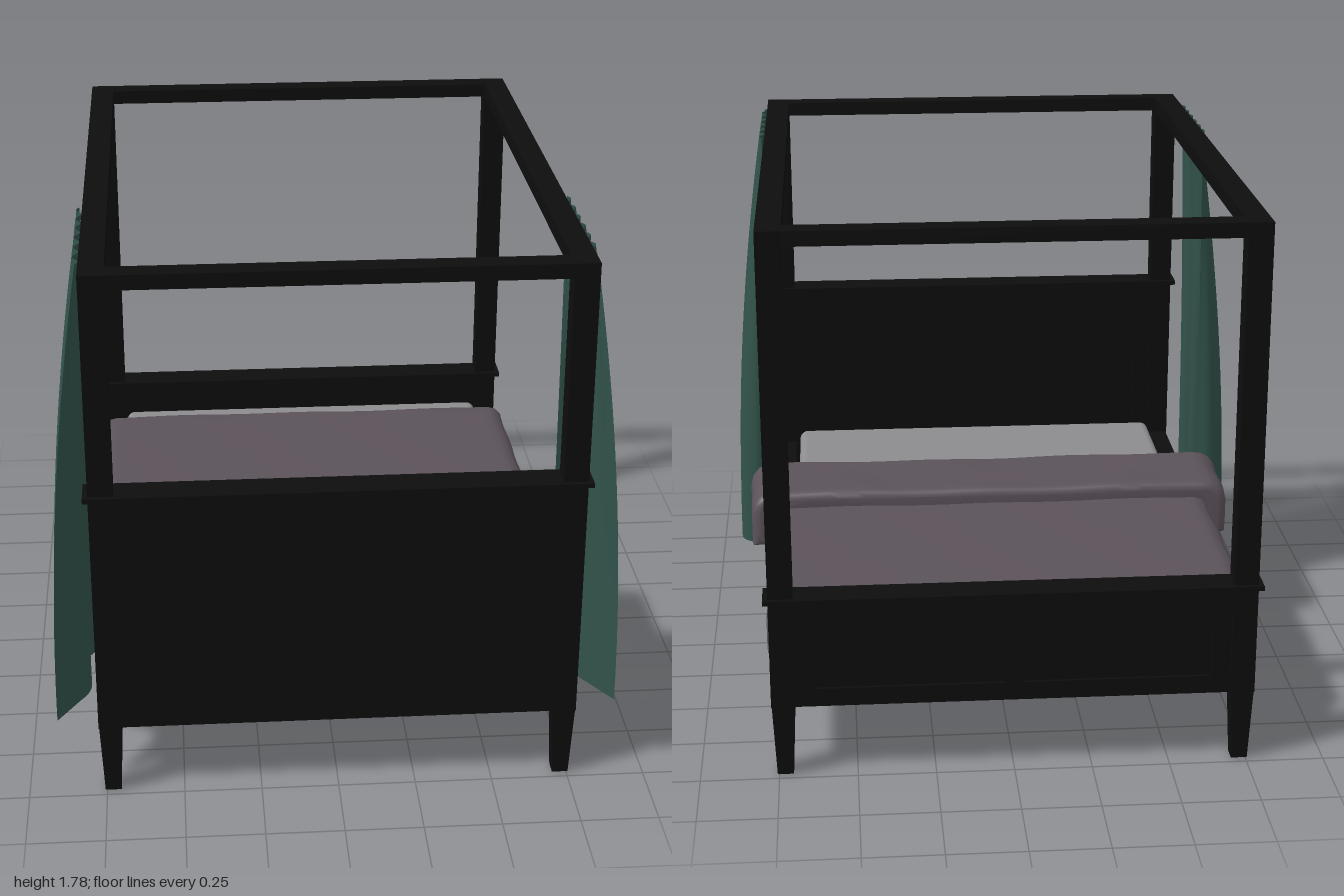
import * as THREE from 'three';
import { mergeVertices, toCreasedNormals } from 'three/addons/utils/BufferGeometryUtils.js';
import { RoundedBoxGeometry } from 'three/addons/geometries/RoundedBoxGeometry.js';

export function createModel() {
  const model = new THREE.Group();
  model.name = 'canopyBed';

  const mat = (name, color, side = THREE.FrontSide) => {
    const m = new THREE.MeshStandardMaterial({ color, side });
    m.name = name;
    return m;
  };
  const wood = mat('blackWood', 0x0d0d0d);
  const sheet = mat('mattressGrey', 0x8c8c8f);
  const duvetCloth = mat('duvetMauve', 0x5b525a);
  const curtainCloth = mat('curtainGreen', 0x31524a, THREE.DoubleSide);

  const add = (name, geometry, material) => {
    const mesh = new THREE.Mesh(geometry, material);
    mesh.name = name;
    model.add(mesh);
    return mesh;
  };
  // Box given by its extents on each axis
  const block = (name, [x0, x1], [y0, y1], [z0, z1], material = wood) => {
    const g = new THREE.BoxGeometry(x1 - x0, y1 - y0, z1 - z0);
    g.translate((x0 + x1) / 2, (y0 + y1) / 2, (z0 + z1) / 2);
    return add(name, g, material);
  };

  // Four posts with tapered feet
  for (const sx of [-1, 1]) {
    for (const sz of [-1, 1]) {
      const post = add('post', new THREE.BoxGeometry(0.078, 1.545, 0.075), wood);
      post.position.set(sx * 0.73, 1.0125, sz * 0.9475);

      const foot = new THREE.BoxGeometry(0.074, 0.24, 0.072);
      const p = foot.attributes.position;
      for (let i = 0; i < p.count; i++) {
        if (p.getY(i) < 0) {
          p.setX(i, p.getX(i) * 0.7);
          p.setZ(i, p.getZ(i) * 0.7);
        }
      }
      foot.computeVertexNormals();
      add('foot', foot, wood).position.set(sx * 0.73, 0.12, sz * 0.9475);
    }
  }

  // Canopy rails and side rails
  for (const s of [-1, 1]) {
    const span = (a, b) => (s > 0 ? [a, b] : [-b, -a]);
    block('canopySideRail', span(0.691, 0.769), [1.738, 1.785], [-0.91, 0.91]);
    block('canopyEndRail', [-0.691, 0.691], [1.738, 1.785], span(0.91, 0.985));
    block('sideRail', span(0.7, 0.765), [0.24, 0.44], [-0.91, 0.91]);
  }

  // Panelled end boards: a thin core with frame strips on chosen faces
  const endBoard = (name, sz, top, frameFaces) => {
    const span = (a, b) => (sz > 0 ? [a, b] : [-b, -a]);
    block(name + 'Panel', [-0.692, 0.692], [0.24, top], span(0.925, 0.97));
    block(name + 'Cap', [-0.785, 0.785], [top - 0.007, top + 0.008], span(0.893, 1));
    for (const face of frameFaces) {
      const depth = face === 'outer' ? span(0.965, 0.98) : span(0.913, 0.928);
      block(name + 'TopRail', [-0.692, 0.692], [top - 0.07, top - 0.004], depth);
      block(name + 'BottomRail', [-0.692, 0.692], [0.24, 0.3], depth);
      for (const x of [-0.66, 0, 0.66]) {
        block(name + 'Stile', [x - 0.03, x + 0.03], [0.3, top - 0.07], depth);
      }
    }
  };
  endBoard('headboard', 1, 1.06, ['inner']);
  endBoard('footboard', -1, 0.605, ['inner', 'outer']);
  block('headboardFace', [-0.692, 0.692], [0.24, 1.055], [0.965, 0.98]);

  // Slats under the mattress
  for (let i = -2; i <= 2; i++) {
    const z = i * 0.38;
    block('slat', [-0.71, 0.71], [0.25, 0.28], [z - 0.11, z + 0.11]);
  }

  const mattress = add('mattress', new RoundedBoxGeometry(1.37, 0.215, 1.8, 4, 0.03), sheet);
  mattress.position.set(0, 0.3875, -0.005);

  // Bedding: an arch-shaped cross-section draped over the bed, with soft wrinkles
  const drape = (name, { halfWidth, bottom, top, thick, radius, z0, z1, bevel, wrinkle, flare }) => {
    const w = halfWidth - bevel, t = top - bevel, b = bottom + bevel;
    const iw = w - thick, it = t - thick;
    const s = new THREE.Shape();
    s.moveTo(w, b);
    s.lineTo(w, t - radius);
    s.quadraticCurveTo(w, t, w - radius, t);
    s.lineTo(-w + radius, t);
    s.quadraticCurveTo(-w, t, -w, t - radius);
    s.lineTo(-w, b);
    s.lineTo(-iw, b);
    s.lineTo(-iw, it);
    s.lineTo(iw, it);
    s.lineTo(iw, b);
    s.closePath();
    const outline = new THREE.Shape(s.getSpacedPoints(160).slice(0, -1));
    let g = new THREE.ExtrudeGeometry(outline, {
      depth: z1 - z0 - 2 * bevel, steps: 20,
      bevelEnabled: true, bevelSize: bevel, bevelThickness: bevel, bevelSegments: 4,
    });
    g.translate(0, 0, z0 + bevel);
    g.deleteAttribute('uv');
    g.deleteAttribute('normal');
    g = mergeVertices(g, 1e-4);
    const p = g.attributes.position;
    for (let i = 0; i < p.count; i++) {
      const x = p.getX(i), y = p.getY(i), z = p.getZ(i);
      const ripple = Math.sin(x * 9 + z * 5) * Math.sin(z * 13 - x * 4);
      p.setY(i, y + wrinkle * ripple);
      p.setX(i, x * (1 + flare * (z - z0) / (z1 - z0) + wrinkle * Math.sin(z * 21)));
    }
    add(name, toCreasedNormals(g, 0.9), duvetCloth);
  };
  drape('duvet', { halfWidth: 0.78, bottom: 0.335, top: 0.52, thick: 0.02, radius: 0.05,
    z0: -0.79, z1: 0.32, bevel: 0.014, wrinkle: 0.003, flare: 0.005 });
  drape('duvetFold', { halfWidth: 0.845, bottom: 0.375, top: 0.574, thick: 0.045, radius: 0.06,
    z0: 0, z1: 0.33, bevel: 0.028, wrinkle: 0.004, flare: 0.018 });

  // Curtains: gathered flat at the canopy rail, opening into deep folds at the hem
  const hem = new THREE.CatmullRomCurve3([
    [0.79, 0.34], [0.84, 0.33], [0.895, 0.37], [0.9, 0.43], [0.86, 0.48], [0.795, 0.5],
    [0.8, 0.55], [0.88, 0.57], [0.912, 0.62], [0.87, 0.68], [0.8, 0.72], [0.8, 0.78],
    [0.845, 0.86], [0.9, 0.95],
  ].map(([x, z]) => new THREE.Vector3(x, 0, z)));
  const COLS = 90, ROWS = 30;
  const hemPoints = hem.getSpacedPoints(COLS);
  const makeCurtain = (name, side) => {
    const g = new THREE.PlaneGeometry(1, 1, COLS, ROWS);
    const p = g.attributes.position;
    for (let r = 0; r <= ROWS; r++) {
      const t = r / ROWS;
      const open = 1 - (1 - t) ** 2;
      for (let c = 0; c <= COLS; c++) {
        const u = c / COLS;
        const topX = 0.779 + 0.009 * Math.sin(u * Math.PI * 12);
        const topZ = 0.35 + 0.51 * u;
        const h = hemPoints[c];
        p.setXYZ(r * (COLS + 1) + c,
          side * THREE.MathUtils.lerp(topX, h.x, open),
          1.775 - 1.52 * t,
          THREE.MathUtils.lerp(topZ, h.z, open));
      }
    }
    // Keep the faces pointing outward on both sides
    if (side > 0) {
      const idx = g.index;
      for (let i = 0; i < idx.count; i += 3) {
        const a = idx.getX(i);
        idx.setX(i, idx.getX(i + 1));
        idx.setX(i + 1, a);
      }
    }
    g.computeVertexNormals();
    add(name, g, curtainCloth);
  };
  makeCurtain('leftCurtain', 1);
  makeCurtain('rightCurtain', -1);

  return model;
}
